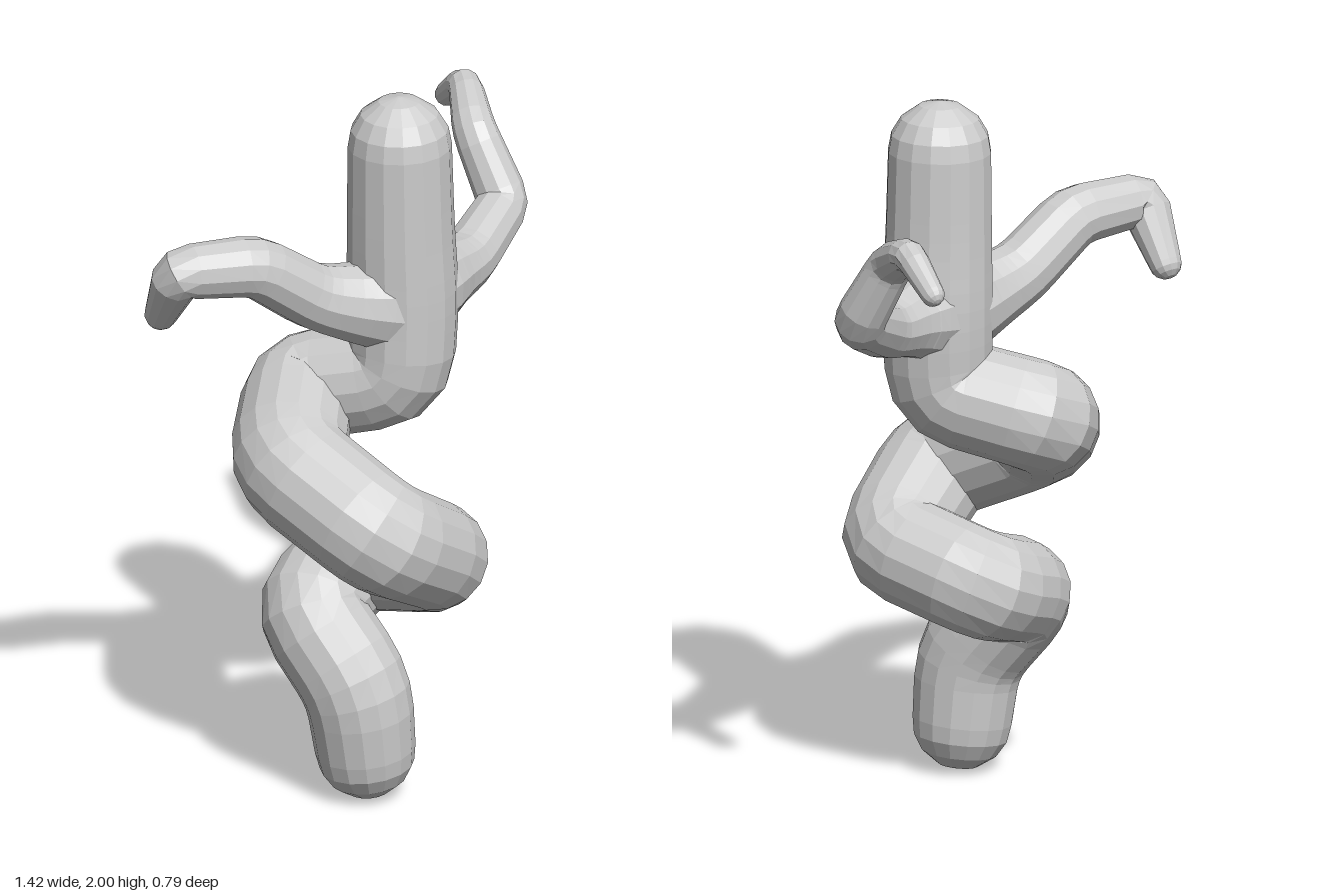
import * as THREE from 'three';

const material = new THREE.MeshStandardMaterial({ color: 0xcccccc, flatShading: true });

// Rounds the corners of a list of [x, y, z, radius] points.
function roundedPath(raw, fillet, cuts) {
  const pts = raw.map((p) => new THREE.Vector4(...p));
  const path = [pts[0]];
  for (let i = 1; i < pts.length - 1; i++) {
    const c = pts[i];
    const toward = (p) => c.clone().lerp(p, Math.min(0.45, fillet / c.clone().sub(p).length()));
    const a = toward(pts[i - 1]), b = toward(pts[i + 1]);
    for (let k = 0; k <= cuts; k++) {
      const t = k / cuts;
      path.push(a.clone().lerp(c, t).lerp(c.clone().lerp(b, t), t));
    }
  }
  path.push(pts[pts.length - 1]);
  return path;
}

// Sweeps a tapering round section along a path, with a dome on each end.
function limb(name, raw, { sides, fillet, cuts }) {
  const path = roundedPath(raw, fillet, cuts);
  const last = path.length - 1;
  const centres = path.map((p) => new THREE.Vector3(p.x, p.y, p.z));
  const tangents = centres.map((_, i) =>
    centres[Math.min(last, i + 1)].clone().sub(centres[Math.max(0, i - 1)]).normalize());

  // Rings: start dome, body, end dome
  const domeRings = (i, direction) => [0.04, 0.4, 0.75, 0.94].map((s) => ({
    c: centres[i].clone().addScaledVector(tangents[i], direction * path[i].w * Math.sqrt(1 - s * s)),
    t: tangents[i],
    r: path[i].w * s,
  }));
  const rings = [
    ...domeRings(0, -1),
    ...centres.map((c, i) => ({ c, t: tangents[i], r: path[i].w })),
    ...domeRings(last, 1).reverse(),
  ];

  // The section's frame is carried along the path without twisting
  const positions = [], index = [];
  const u = new THREE.Vector3(0.31, 0.2, 0.93);
  rings.forEach(({ c, t, r }, j) => {
    u.addScaledVector(t, -u.dot(t)).normalize();
    const v = new THREE.Vector3().crossVectors(t, u);
    for (let k = 0; k < sides; k++) {
      const a = (k / sides) * Math.PI * 2;
      const p = c.clone().addScaledVector(u, r * Math.cos(a)).addScaledVector(v, r * Math.sin(a));
      positions.push(p.x, p.y, p.z);
      if (j === 0) continue;
      const k2 = (k + 1) % sides, lo = (j - 1) * sides, hi = j * sides;
      index.push(lo + k, lo + k2, hi + k2, lo + k, hi + k2, hi + k);
    }
  });
  // End caps
  const end = (rings.length - 1) * sides;
  for (let k = 1; k < sides - 1; k++) index.push(0, k + 1, k, end, end + k, end + k + 1);

  const geometry = new THREE.BufferGeometry();
  geometry.setAttribute('position', new THREE.Float32BufferAttribute(positions, 3));
  geometry.setIndex(index);
  geometry.computeVertexNormals();
  const mesh = new THREE.Mesh(geometry, material);
  mesh.name = name;
  return mesh;
}

export function createModel() {
  const model = new THREE.Group();
  model.name = 'coiledFigure';

  // Head, coiling trunk and single foot
  model.add(limb('body', [
    [-0.03, 1.855, 0.05, 0.145],
    [-0.025, 1.6, 0.05, 0.15],
    [-0.015, 1.4, 0.05, 0.157],
    [-0.025, 1.17, 0.05, 0.15],
    [-0.125, 1.1, -0.225, 0.155],
    [-0.38, 0.985, -0.08, 0.165],
    [-0.375, 0.84, 0.24, 0.163],
    [-0.085, 0.68, 0.24, 0.152],
    [-0.065, 0.605, -0.07, 0.152],
    [-0.305, 0.53, -0.07, 0.15],
    [-0.29, 0.33, 0.1, 0.152],
    [-0.27, 0.14, 0.11, 0.14],
  ], { sides: 16, fillet: 0.08, cuts: 3 }));

  // Raised arm, flaring into the shoulder
  model.add(limb('leftArm', [
    [-0.02, 1.4, 0.05, 0.148],
    [0.1, 1.41, 0.06, 0.125],
    [0.17, 1.413, 0.062, 0.1],
    [0.27, 1.415, 0.06, 0.083],
    [0.495, 1.5, 0.02, 0.073],
    [0.502, 1.69, -0.09, 0.062],
    [0.62, 1.765, -0.21, 0.046],
    [0.685, 1.68, -0.32, 0.034],
  ], { sides: 12, fillet: 0.04, cuts: 2 }));

  // Drooping arm, flaring into the shoulder
  model.add(limb('rightArm', [
    [-0.02, 1.38, 0.05, 0.148],
    [-0.11, 1.4, 0.015, 0.13],
    [-0.19, 1.42, -0.02, 0.108],
    [-0.28, 1.455, -0.065, 0.093],
    [-0.45, 1.585, -0.14, 0.087],
    [-0.645, 1.6, -0.255, 0.075],
    [-0.6, 1.44, -0.35, 0.047],
  ], { sides: 12, fillet: 0.04, cuts: 2 }));

  return model;
}
